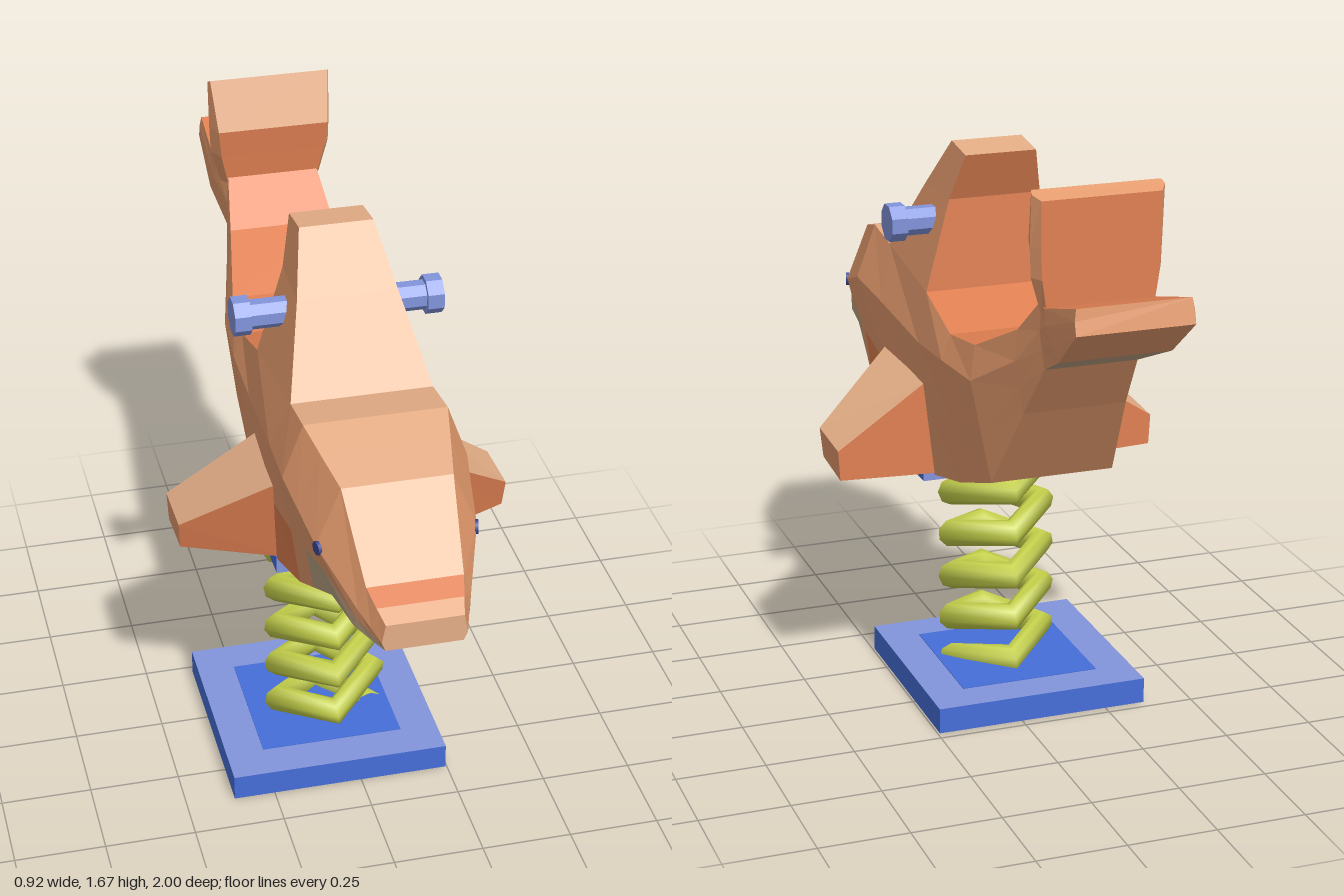
import * as THREE from 'three';

const mat = (name, color) => {
  const m = new THREE.MeshStandardMaterial({ color });
  m.name = name;
  return m;
};

// Indices into the skin materials
const SIDE = 0, ORANGE = 1, BELLY = 2, PALE = 3;

// Faceted skin through rings of points; pick(i, j) colours each face, j = -1 being an end cap
function loft(rings, pick) {
  const geo = new THREE.BufferGeometry();
  const pos = [];
  const face = (pts, m) => {
    const start = pos.length / 3;
    for (let k = 1; k < pts.length - 1; k++) pos.push(...pts[0], ...pts[k], ...pts[k + 1]);
    geo.addGroup(start, pos.length / 3 - start, m);
  };
  const n = rings[0].length, last = rings.length - 1;
  for (let i = 0; i < last; i++) {
    for (let j = 0; j < n; j++) {
      const k = (j + 1) % n;
      face([rings[i][j], rings[i][k], rings[i + 1][k], rings[i + 1][j]], pick(i, j));
    }
  }
  face([...rings[0]].reverse(), pick(0, -1));
  face(rings[last], pick(last, -1));
  geo.setAttribute('position', new THREE.Float32BufferAttribute(pos, 3));
  geo.computeVertexNormals();
  return geo;
}

// Mirrored horizontal ring from [z, y, half width] points, back to front
const finRing = pts => {
  const [back, ...rest] = pts;
  return [
    [-back[2], back[1], back[0]],
    ...pts.map(([z, y, w]) => [w, y, z]),
    ...rest.reverse().map(([z, y, w]) => [-w, y, z]),
  ];
};

// Square-turned coil
class Coil extends THREE.Curve {
  getPoint(t, target = new THREE.Vector3()) {
    const turn = -0.5 + 4.75 * t, a = turn * Math.PI * 2;
    return target.set(-0.045 - 0.135 * Math.cos(a), 0.128 * (1 + turn), 0.125 + 0.135 * Math.sin(a));
  }
  getPointAt(t, target) { return this.getPoint(t, target); }
  getTangentAt(t, target) { return this.getTangent(t, target); }
}

export function createModel() {
  const group = new THREE.Group();
  const skin = [
    mat('sideOrange', 0xe2996c), mat('orange', 0xdf8052),
    mat('bellyTan', 0xbba283), mat('paleTan', 0xe4ad86),
  ];
  const blue = mat('blue', 0x466ed8);
  const paleBlue = mat('paleBlue', 0x8294dc);
  const green = mat('springGreen', 0xc4d04a);
  const dark = mat('eyeBlue', 0x3a4690);

  const add = (name, geo, material, x = 0, y = 0, z = 0) => {
    const mesh = new THREE.Mesh(geo, material);
    mesh.name = name;
    mesh.position.set(x, y, z);
    group.add(mesh);
    return mesh;
  };

  // Body, nose to tail: [z, y, half width] at the top, middle and bottom
  const sections = [
    [[1, 0.98, 0.1], [1, 0.93, 0.11], [1, 0.905, 0.1]],
    [[0.955, 1.003, 0.112], [0.955, 0.945, 0.125], [0.95, 0.905, 0.122]],
    [[0.9, 1.03, 0.125], [0.9, 0.965, 0.145], [0.88, 0.905, 0.15]],
    [[0.72, 1.21, 0.145], [0.72, 1.05, 0.21], [0.73, 0.9, 0.17]],
    [[0.6, 1.243, 0.17], [0.6, 1.088, 0.229], [0.6, 0.838, 0.187]],
    [[0.5, 1.27, 0.19], [0.5, 1.12, 0.245], [0.5, 0.79, 0.2]],
    [[0.36, 1.25, 0.19], [0.3, 1.1, 0.235], [0.27, 0.71, 0.21]],
    [[0, 1.21, 0.2], [0, 1.07, 0.225], [0, 0.68, 0.18]],
    [[-0.2, 1.15, 0.2], [-0.2, 1.08, 0.225], [-0.22, 0.735, 0.18]],
    [[-0.37, 1.17, 0.19], [-0.39, 1.08, 0.21], [-0.44, 0.81, 0.17]],
    [[-0.58, 1.27, 0.15], [-0.59, 1.19, 0.16], [-0.6, 1.05, 0.14]],
    [[-0.7, 1.38, 0.13], [-0.7, 1.3, 0.135], [-0.71, 1.2, 0.125]],
    [[-0.77, 1.38, 0.15], [-0.79, 1.34, 0.155], [-0.87, 1.27, 0.15]],
    [[-0.985, 1.44, 0.15], [-0.99, 1.41, 0.155], [-1, 1.375, 0.155]],
  ];
  const rings = sections.map(([top, mid, bottom]) => {
    const low = mid.map((v, k) => (v + bottom[k]) / 2);
    const half = [top, mid, low, bottom];
    return [
      [-top[2], top[1], top[0]],
      ...half.map(([z, y, w]) => [w, y, z]),
      ...half.slice(1).reverse().map(([z, y, w]) => [-w, y, z]),
    ];
  });
  add('body', loft(rings, (i, j) => {
    if (j === -1) return i === 0 ? PALE : SIDE;
    if (j === 0) return i === 1 || i > 6 ? ORANGE : PALE;
    if (j === 4) return i === 11 ? BELLY : i < 4 ? PALE : SIDE;
    if (j === 3 || j === 5) return i < 4 ? BELLY : i === 5 || i === 6 ? ORANGE : SIDE;
    return SIDE;
  }), skin);

  // Dorsal fin
  add('dorsalFin', loft([
    [[-0.04, 1.59, 0.1], [0.075, 1.605, 0.1]],
    [[0.01, 1.46, 0.13], [0.2, 1.46, 0.135]],
    [[0, 1.21, 0.2], [0.36, 1.25, 0.19]],
  ].map(finRing), (i, j) => (j === 0 ? ORANGE : j === 2 || j === -1 ? PALE : SIDE)), skin);

  // Upright tail fluke
  add('uprightFluke', loft([
    [[-0.77, 1.65, 0.158], [-0.745, 1.662, 0.175], [-0.73, 1.67, 0.17]],
    [[-0.77, 1.53, 0.158], [-0.735, 1.53, 0.175], [-0.68, 1.53, 0.158]],
    [[-0.77, 1.45, 0.155], [-0.735, 1.45, 0.172], [-0.69, 1.45, 0.15]],
    [[-0.77, 1.35, 0.14], [-0.735, 1.355, 0.145], [-0.7, 1.36, 0.13]],
  ].map(finRing), (i, j) => {
    if (j === 0) return ORANGE;
    if (j === 3) return i === 0 ? PALE : ORANGE;
    return SIDE;
  }), skin);

  // Side flippers, tip to root
  const flipper = [
    [[0.46, 0.795, 0.17], [0.46, 0.785, -0.01], [0.455, 0.7, -0.01], [0.455, 0.715, 0.155]],
    [[0.21, 0.98, 0.31], [0.21, 0.95, 0], [0.17, 0.685, 0], [0.19, 0.715, 0.27]],
  ];
  const mirrored = flipper.map(r => r.map(([x, y, z]) => [-x, y, z]).reverse());
  const flipperSkin = top => (i, j) => (j === top ? PALE : j === 1 || j === 3 ? ORANGE : SIDE);
  add('leftFlipper', loft(flipper, flipperSkin(0)), skin);
  add('rightFlipper', loft(mirrored, flipperSkin(2)), skin);

  // Eyes, turned to follow the head
  for (const s of [-1, 1]) {
    const geo = new THREE.CylinderGeometry(0.019, 0.019, 0.009, 8).rotateZ(Math.PI / 2);
    const eye = add(s > 0 ? 'leftEye' : 'rightEye', geo, dark, s * 0.207, 1.047, 0.727);
    eye.rotation.y = -s * 0.25;
  }

  // Handlebar with end grips
  const bar = (name, r, length, x) => {
    const geo = new THREE.CylinderGeometry(r, r, length, 8).toNonIndexed();
    geo.computeVertexNormals();
    geo.rotateY(Math.PI / 8);
    geo.rotateZ(Math.PI / 2);
    add(name, geo, paleBlue, x, 1.383, 0.108);
  };
  bar('handlebar', 0.04, 0.5, -0.007);
  bar('leftGrip', 0.053, 0.045, 0.253);
  bar('rightGrip', 0.053, 0.045, -0.267);

  // Spring and its mounting plates
  add('spring', new THREE.TubeGeometry(new Coil(), 19, 0.04, 8, false), green);
  add('mountPlate', new THREE.BoxGeometry(0.425, 0.05, 0.27),
    [blue, blue, blue, blue, paleBlue, paleBlue], 0, 0.69, 0.135);
  add('basePlate', new THREE.BoxGeometry(0.61, 0.073, 0.61),
    [blue, blue, paleBlue, paleBlue, blue, blue], -0.06, 0.0385, 0.08);
  add('baseInset', new THREE.BoxGeometry(0.4, 0.077, 0.4), blue, -0.06, 0.0385, 0.08);

  return group;
}
